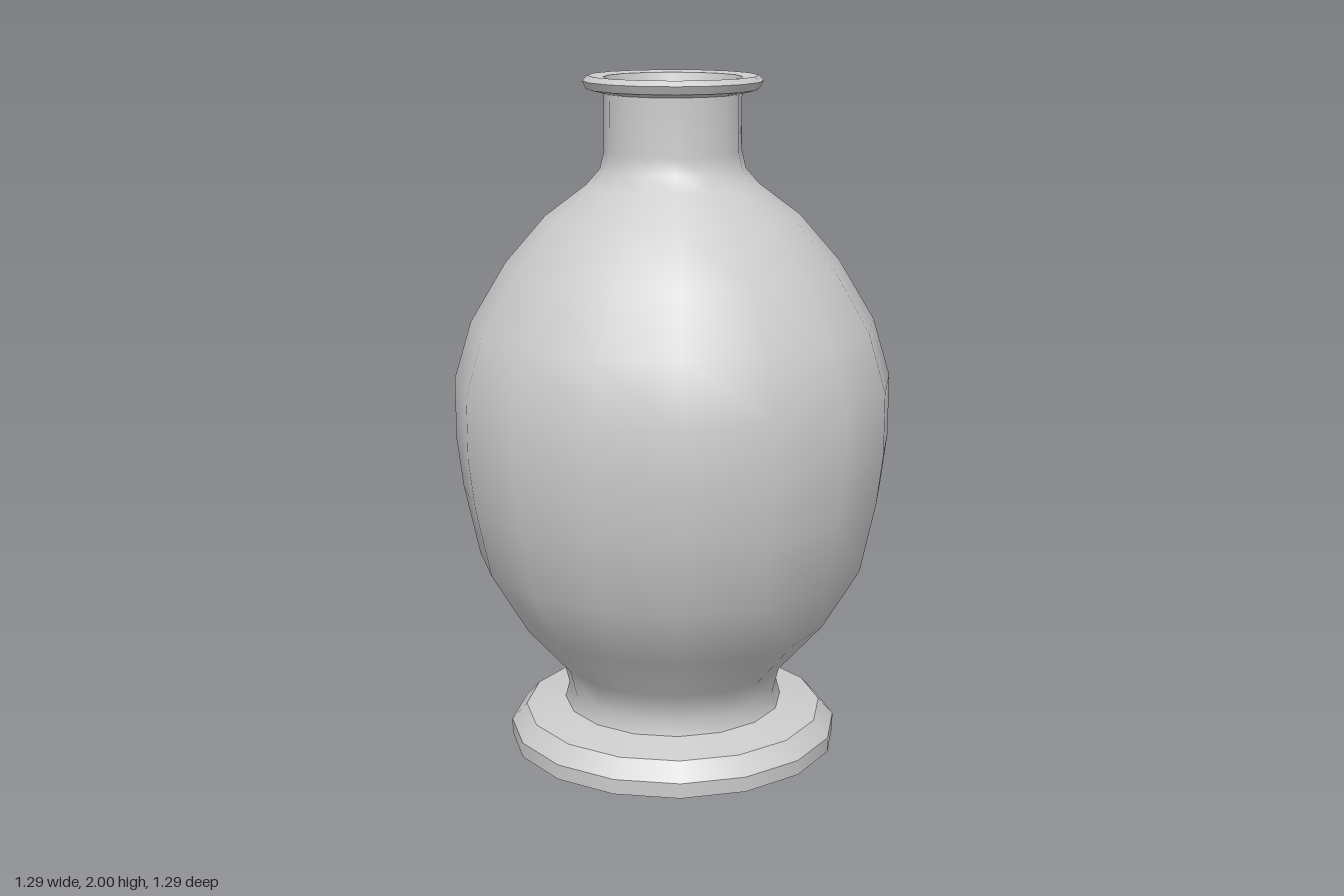
import * as THREE from 'three';

const SIDES = 16;
const material = new THREE.MeshStandardMaterial({ color: 0xcccccc });

// Group of turned bands: smooth within a band, sharp edge between bands.
// Profiles are [radius, height], running up the outside and down the inside.
function turned(name, bands) {
  const group = new THREE.Group();
  group.name = name;
  bands.forEach((band, i) => {
    const points = band.map(([r, y]) => new THREE.Vector2(r, y));
    const mesh = new THREE.Mesh(new THREE.LatheGeometry(points, SIDES), material);
    mesh.name = `${name}Band${i + 1}`;
    group.add(mesh);
  });
  return group;
}

// Splits a profile into one sharp-edged band per segment.
const sharp = (profile) => profile.slice(1).map((p, i) => [profile[i], p]);

export function createModel() {
  const vase = new THREE.Group();
  vase.name = 'vase';

  // Stepped foot with closed underside
  vase.add(turned('foot', sharp([
    [0, 0], [0.495, 0], [0.495, 0.045], [0.45, 0.095], [0.33, 0.118],
  ])));

  // Waist, belly, shoulder and neck in one smooth sweep
  vase.add(turned('body', [[
    [0.33, 0.118], [0.318, 0.165], [0.338, 0.245], [0.47, 0.395],
    [0.58, 0.58], [0.625, 0.79], [0.643, 0.94], [0.643, 1.12],
    [0.592, 1.29], [0.487, 1.465], [0.37, 1.6], [0.25, 1.69],
    [0.211, 1.735], [0.199, 1.785], [0.198, 1.95],
  ]]));

  // Flared lip
  vase.add(turned('rim', sharp([
    [0.198, 1.95], [0.248, 1.962], [0.26, 1.985], [0.245, 2], [0.2, 1.995],
  ])));

  // Inside of the neck and its floor
  vase.add(turned('mouth', sharp([
    [0.2, 1.995], [0.188, 1.95], [0.188, 1.7], [0, 1.7],
  ])));

  return vase;
}
